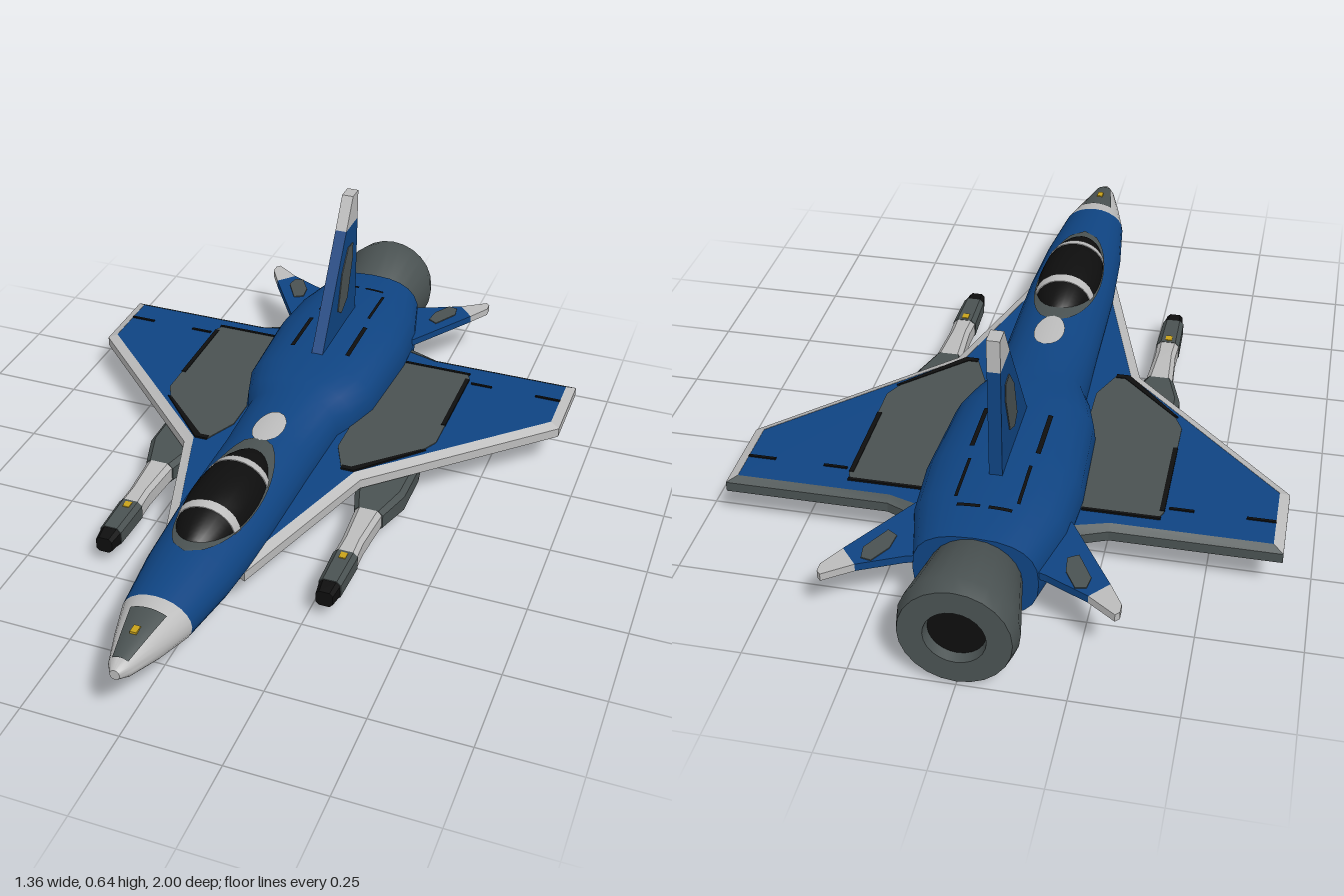
import * as THREE from 'three';
import { toCreasedNormals } from 'three/addons/utils/BufferGeometryUtils.js';

const paint = (name, color) => {
  const m = new THREE.MeshStandardMaterial({ color });
  m.name = name;
  return m;
};
const V = (x, y, z) => new THREE.Vector3(x, y, z);

// Closed skin over rings that run counterclockwise seen from the first ring's side
function loft(rings, crease = 0.6) {
  const pos = [];
  const tri = (...p) => p.forEach((v) => pos.push(v.x, v.y, v.z));
  const n = rings[0].length;
  for (let i = 0; i < rings.length - 1; i++) {
    for (let j = 0; j < n; j++) {
      const k = (j + 1) % n;
      const [a, b, c, d] = [rings[i][j], rings[i][k], rings[i + 1][j], rings[i + 1][k]];
      tri(a, c, b);
      tri(b, c, d);
    }
  }
  const last = rings[rings.length - 1];
  for (let j = 1; j < n - 1; j++) {
    tri(rings[0][0], rings[0][j], rings[0][j + 1]);
    tri(last[0], last[j + 1], last[j]);
  }
  const g = new THREE.BufferGeometry();
  g.setAttribute('position', new THREE.Float32BufferAttribute(pos, 3));
  return toCreasedNormals(g, crease);
}

const extrude = (pts, depth) => new THREE.ExtrudeGeometry(
  new THREE.Shape(pts.map(([u, v]) => new THREE.Vector2(u, v))), { depth, bevelEnabled: false });
// Flat plate from [x, z] points, and upright plate from [z, y] points
const plate = (pts, s, y, h) =>
  extrude(pts.map(([x, z]) => [x * s, -z]), h).rotateX(-Math.PI / 2).translate(0, y, 0);
const upright = (pts, t) => extrude(pts, t).rotateY(-Math.PI / 2).translate(t / 2, 0, 0);

// Fuselage stations: z, half width, bottom, top
const stations = [
  [1, 0.012, 0.172, 0.198], [0.97, 0.03, 0.155, 0.208], [0.88, 0.06, 0.125, 0.222],
  [0.78, 0.088, 0.102, 0.235], [0.6, 0.11, 0.08, 0.245], [0.4, 0.122, 0.065, 0.25],
  [0.1, 0.125, 0.05, 0.25], [-0.1, 0.13, 0.045, 0.25], [-0.16, 0.155, 0.043, 0.256],
  [-0.25, 0.182, 0.04, 0.262], [-0.5, 0.195, 0.04, 0.266], [-0.65, 0.185, 0.035, 0.264],
  [-0.8, 0.147, 0.035, 0.256],
];
const power = (z) => 2 + Math.min(0.6, Math.max(0, -z * 3));

function bodyRing([z, w, lo, hi]) {
  const e = 2 / power(z);
  const f = (v) => Math.sign(v) * Math.abs(v) ** e;
  return Array.from({ length: 24 }, (_, i) => {
    const a = (i / 24) * Math.PI * 2;
    return V(w * f(Math.cos(a)), (lo + hi) / 2 + ((hi - lo) / 2) * f(Math.sin(a)), z);
  });
}

// Height of the fuselage top at x, z
function topY(x, z) {
  let i = 0;
  while (i < stations.length - 2 && stations[i + 1][0] > z) i++;
  const [p, q] = [stations[i], stations[i + 1]];
  const t = (p[0] - z) / (p[0] - q[0]);
  const [, w, lo, hi] = p.map((v, k) => v + (q[k] - v) * t);
  const e = power(z);
  return (lo + hi) / 2 + ((hi - lo) / 2) * Math.max(0, 1 - Math.abs(x / w) ** e) ** (1 / e);
}

// Painted patch that follows the fuselage top from z0 back to z1
function skin(z0, z1, left, right) {
  const pos = [], index = [], nz = 20, nx = 8;
  for (let i = 0; i <= nz; i++) {
    for (let j = 0; j <= nx; j++) {
      const z = z0 + ((z1 - z0) * i) / nz;
      const x = left(z) + ((right(z) - left(z)) * j) / nx;
      pos.push(x, topY(x, z) + 0.003, z);
      if (i < nz && j < nx) {
        const a = i * (nx + 1) + j, c = a + nx + 1;
        index.push(a, a + 1, c, a + 1, c + 1, c);
      }
    }
  }
  const g = new THREE.BufferGeometry();
  g.setAttribute('position', new THREE.Float32BufferAttribute(pos, 3));
  g.setIndex(index);
  g.computeVertexNormals();
  return g;
}
const ovalSkin = (zc, rz, rx) => {
  const w = (z) => rx * Math.sqrt(Math.max(0, 1 - ((z - zc) / rz) ** 2));
  return skin(zc + rz, zc - rz, (z) => -w(z), w);
};

export function createModel() {
  const model = new THREE.Group();
  const blue = paint('blue', 0x0f4482), light = paint('light grey', 0xbcbcbc);
  const dark = paint('dark grey', 0x4a5252), black = paint('black', 0x0e0e0e);
  const yellow = paint('yellow', 0xc9a21a);
  const add = (name, geo, mat) => {
    const m = new THREE.Mesh(geo, mat);
    m.name = name;
    model.add(m);
    return m;
  };
  const box = (name, mat, w, h, d, x, y, z) =>
    add(name, new THREE.BoxGeometry(w, h, d).translate(x, y, z), mat);

  // Fuselage and nose
  const rings = stations.map(bodyRing);
  add('noseCone', loft(rings.slice(0, 4)), light);
  add('fuselage', loft(rings.slice(3)), blue);
  add('noseGlarePanel', skin(0.97, 0.82, (z) => -0.045 + (z - 0.82) * 0.17, (z) => 0.045 - (z - 0.82) * 0.17), dark);
  box('noseMark', yellow, 0.016, 0.006, 0.024, 0, 0.225, 0.89);
  add('canopySurround', ovalSkin(0.37, 0.25, 0.09), dark);
  add('spineHatch', ovalSkin(0.07, 0.07, 0.04), light);

  // Canopy: glass divided by two raised frames
  const canopyRing = (z, grow) => {
    const k = Math.sqrt(Math.max(0.0004, 1 - ((z - 0.38) / 0.225) ** 2)) * grow;
    return Array.from({ length: 24 }, (_, i) => {
      const a = (i / 24) * Math.PI * 2;
      return V(0.088 * k * Math.cos(a), 0.215 + 0.08 * k * Math.sin(a), z);
    });
  };
  const canopyCuts = [0.605, 0.495, 0.47, 0.295, 0.268, 0.155];
  for (let i = 0; i < 5; i++) {
    const slices = Array.from({ length: 9 }, (_, j) =>
      canopyRing(canopyCuts[i] + ((canopyCuts[i + 1] - canopyCuts[i]) * j) / 8, i % 2 ? 1.03 : 1));
    add(i % 2 ? 'canopyFrame' : 'canopyGlass', loft(slices), i % 2 ? light : black);
  }

  // Exhaust nozzle
  const nozzle = [[0.105, -0.79], [0.11, -0.8], [0.14, -0.96], [0.13, -1], [0.072, -1], [0.066, -0.97]]
    .map(([r, z]) => new THREE.Vector2(r, -z));
  const nozzleGeo = new THREE.LatheGeometry(nozzle, 24).rotateX(-Math.PI / 2).translate(0, 0.142, 0);
  add('nozzle', toCreasedNormals(nozzleGeo, 0.5), dark);
  add('nozzleThroat', new THREE.CircleGeometry(0.072, 24).rotateY(Math.PI).translate(0, 0.142, -0.975), black);

  // Tail fin
  add('fin', upright([[-0.27, 0.22], [-0.31, 0.28], [-0.483, 0.555], [-0.58, 0.555], [-0.58, 0.22]], 0.032), blue);
  add('finTip', upright([[-0.483, 0.555], [-0.535, 0.64], [-0.58, 0.64], [-0.58, 0.555]], 0.032), light);
  add('finPatch', upright([[-0.42, 0.335], [-0.45, 0.44], [-0.5, 0.5], [-0.54, 0.495], [-0.54, 0.45],
    [-0.5, 0.34], [-0.45, 0.315]], 0.037), dark);

  // Cross-section of a pod: a box with chamfered corners
  const podRing = (s) => ([z, w, lo, hi]) => {
    const c = Math.min(w, (hi - lo) / 2) * 0.4, x = s * 0.295;
    return [[w, lo + c], [w, hi - c], [w - c, hi], [c - w, hi], [-w, hi - c], [-w, lo + c], [c - w, lo], [w - c, lo]]
      .map(([u, v]) => V(x + u, v, z));
  };
  const podParts = [
    ['podNose', black, [[0.465, 0.022, 0.046, 0.088], [0.425, 0.027, 0.042, 0.093]]],
    ['podFront', dark, [[0.425, 0.029, 0.04, 0.095], [0.305, 0.032, 0.038, 0.097]]],
    ['podMiddle', light, [[0.305, 0.03, 0.04, 0.096], [0.25, 0.028, 0.04, 0.098], [0.125, 0.036, 0.04, 0.1]]],
    ['podRear', dark, [[0.125, 0.039, 0.038, 0.1], [0.03, 0.068, 0.036, 0.105], [-0.1, 0.068, 0.04, 0.105],
      [-0.25, 0.045, 0.06, 0.105], [-0.36, 0.012, 0.09, 0.105]]],
  ];

  for (const s of [1, -1]) {
    // Delta wing with a chamfered rim
    const outer = [[0.11, 0.52], [0.25, 0.06], [0.68, -0.36], [0.68, -0.58], [0.27, -0.58], [0.17, -0.62]];
    const inner = [[0.09, 0.5], [0.228, 0.045], [0.655, -0.37], [0.655, -0.56], [0.27, -0.56], [0.17, -0.59]];
    add('wing', plate([[0, 0.5], ...inner, [0, -0.58]], s, 0.1, 0.046), blue);
    const rim = outer.map(([x, z], i) => {
      const [u, w] = inner[i];
      const r = [V(s * x, 0.11, z), V(s * x, 0.136, z), V(s * u, 0.147, w), V(s * u, 0.099, w)];
      return s > 0 ? r : r.reverse();
    });
    add('wingLeadingEdge', loft(rim.slice(0, 4), 0.3), light);
    add('wingTrailingEdge', loft(rim.slice(3), 0.3), dark);
    add('wingPatch', plate([[0.15, -0.52], [0.38, -0.52], [0.39, -0.5], [0.39, -0.16], [0.37, -0.12],
      [0.22, 0.04], [0.19, 0.04], [0.15, -0.05]], s, 0.144, 0.005), dark);

    // Panel lines on the wing
    box('wingPanelLine', black, 0.012, 0.006, 0.25, s * 0.385, 0.148, -0.37);
    box('wingPanelLine', black, 0.19, 0.006, 0.008, s * 0.29, 0.148, -0.522);
    box('flapLine', black, 0.07, 0.005, 0.007, s * 0.62, 0.147, -0.48);
    box('flapLine', black, 0.06, 0.005, 0.007, s * 0.43, 0.147, -0.48);
    add('wingPanelLine', plate([[0.36, -0.11], [0.375, -0.115], [0.225, 0.045], [0.19, 0.045], [0.19, 0.03], [0.215, 0.03]],
      s, 0.146, 0.005), black);

    // Panel lines on the spine
    const side = (a, b) => (s > 0 ? [() => a, () => b] : [() => -b, () => -a]);
    add('spinePanelLine', skin(-0.32, -0.48, ...side(0.075, 0.087)), black);
    add('spinePanelLine', skin(-0.53, -0.67, ...side(0.07, 0.078)), black);
    add('spinePanelLine', skin(-0.692, -0.702, ...side(0.01, 0.065)), black);

    // Tailplane
    add('tailplane', plate([[0.1, -0.55], [0.19, -0.61], [0.31, -0.8], [0.268, -0.848], [0.165, -0.8], [0.1, -0.78]],
      s, 0.155, 0.02), blue);
    add('tailplaneTip', plate([[0.31, -0.8], [0.345, -0.86], [0.345, -0.885], [0.335, -0.895], [0.268, -0.848]],
      s, 0.155, 0.02), light);
    add('tailplanePatch', plate([[0.2, -0.735], [0.225, -0.72], [0.265, -0.79], [0.26, -0.825], [0.235, -0.83],
      [0.205, -0.78]], s, 0.172, 0.006), dark);

    // Pod under the wing
    for (const [name, mat, list] of podParts) add(name, loft(list.map(podRing(s)), 0.3), mat);
    box('podMark', yellow, 0.018, 0.006, 0.022, s * 0.295, 0.096, 0.325);
  }
  return model;
}
